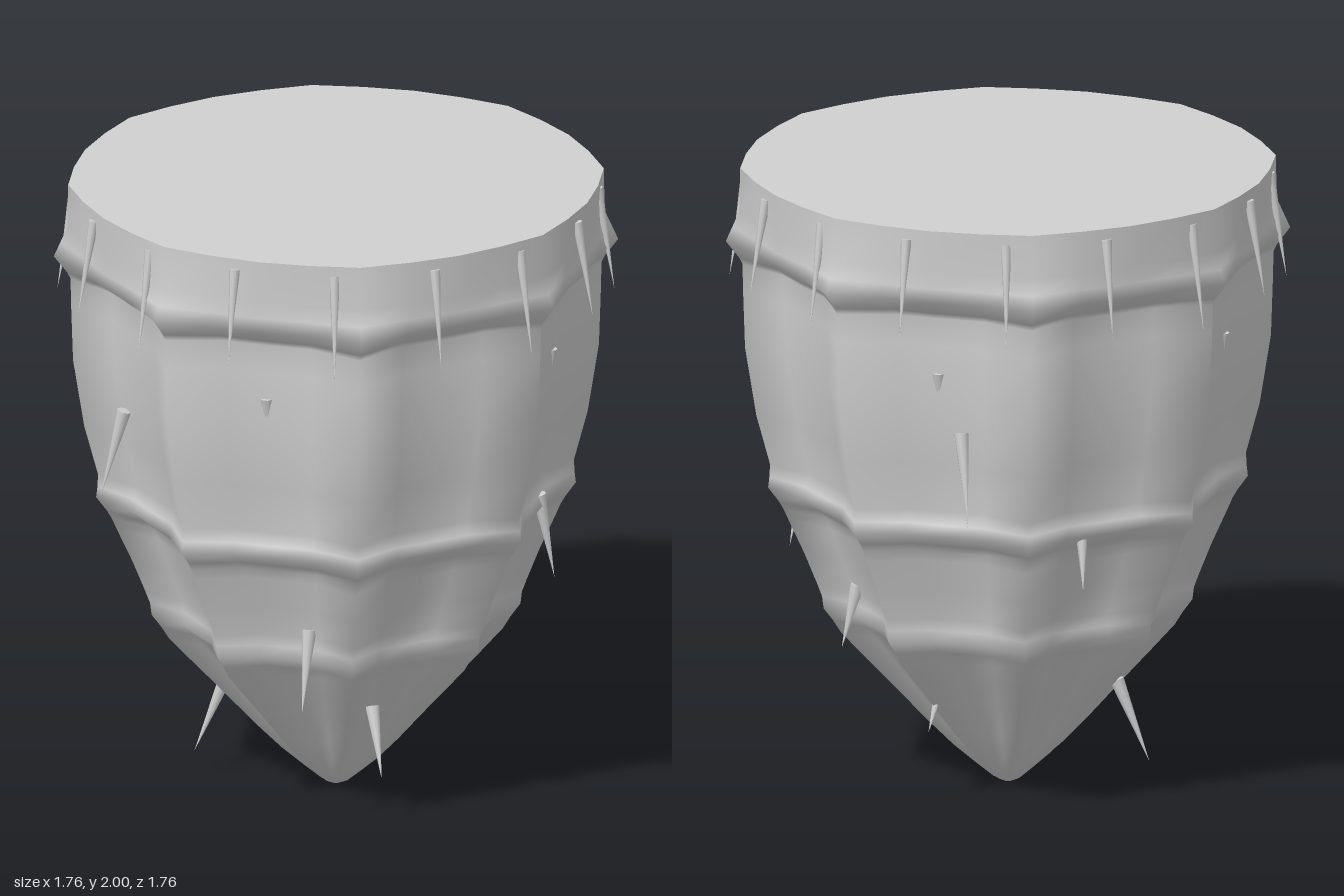
import * as THREE from 'three';

const grey = new THREE.MeshStandardMaterial({ color: 0xd0d0d0 });
grey.name = 'stone grey';

// Cross-sections from tip to rim: height, radius at the eight ridges, hollow between ridges
const ROWS = [
  [0, 0.012, 0], [0.015, 0.045, 0.1], [0.06, 0.1, 0.15], [0.12, 0.17, 0.19], [0.2, 0.25, 0.2],
  [0.33, 0.37, 0.2], [0.42, 0.455, 0.2], [0.49, 0.52, 0.2], [0.53, 0.545, 0.18],
  [0.57, 0.575, 0.15], [0.61, 0.58, 0.165], [0.65, 0.595, 0.18], [0.75, 0.635, 0.175],
  [0.86, 0.685, 0.175], [0.895, 0.7, 0.175], [0.92, 0.715, 0.16], [0.965, 0.748, 0.12],
  [1.0, 0.744, 0.13], [1.04, 0.742, 0.15], [1.2, 0.785, 0.145], [1.42, 0.82, 0.14],
  [1.6, 0.826, 0.135], [1.69, 0.828, 0.135], [1.71, 0.838, 0.125], [1.765, 0.88, 0.08],
  [1.81, 0.86, 0.06], [1.86, 0.838, 0.035], [2, 0.835, 0.022],
];
const SEG = 32;

// Ridged radius: sharp at each multiple of 45 degrees, rounded plateau in between
function ringPoint([y, R, sag], i) {
  const a = (i / SEG) * Math.PI * 2;
  const t = 1 - Math.abs((i % 4) / 2 - 1);
  const r = R * (1 - sag * (1 - Math.pow(1 - t, 3.4)));
  return [Math.cos(a) * r, y, Math.sin(a) * r];
}

function makeGeometry(pos, idx) {
  const g = new THREE.BufferGeometry();
  g.setAttribute('position', new THREE.Float32BufferAttribute(pos, 3));
  g.setIndex(idx);
  g.computeVertexNormals();
  return g;
}

function bodyGeometry() {
  const pos = [], idx = [];
  for (const row of ROWS) for (let i = 0; i < SEG; i++) pos.push(...ringPoint(row, i));
  for (let j = 0; j < ROWS.length - 1; j++) {
    for (let i = 0; i < SEG; i++) {
      const a = j * SEG + i, b = j * SEG + ((i + 1) % SEG), c = a + SEG, d = b + SEG;
      idx.push(a, c, b, b, c, d);
    }
  }
  return makeGeometry(pos, idx);
}

// Flat disc that closes either end
function capGeometry(row, up) {
  const pos = [0, row[0], 0], idx = [];
  for (let i = 0; i < SEG; i++) {
    pos.push(...ringPoint(row, i));
    const a = i + 1, b = ((i + 1) % SEG) + 1;
    if (up) idx.push(0, b, a); else idx.push(0, a, b);
  }
  return makeGeometry(pos, idx);
}

// Thorn running from its blunt root to its point
function thorn(name, root, tip, radius) {
  const a = new THREE.Vector3(...root), b = new THREE.Vector3(...tip);
  const dir = b.clone().sub(a);
  const m = new THREE.Mesh(new THREE.ConeGeometry(radius, dir.length(), 8), grey);
  m.position.copy(a).add(b).multiplyScalar(0.5);
  m.quaternion.setFromUnitVectors(new THREE.Vector3(0, 1, 0), dir.normalize());
  m.name = name;
  return m;
}

const polar = (deg, r, y) => {
  const a = THREE.MathUtils.degToRad(deg);
  return [Math.cos(a) * r, y, Math.sin(a) * r];
};

export function createModel() {
  const model = new THREE.Group();
  model.name = 'thornyPod';
  const add = (name, geo) => {
    const m = new THREE.Mesh(geo, grey);
    m.name = name;
    model.add(m);
  };
  add('ridgedBody', bodyGeometry());
  add('topCap', capGeometry(ROWS[ROWS.length - 1], true));
  add('bottomTip', capGeometry(ROWS[0], false));

  // Sixteen thorns hanging around the rim
  const rim = new THREE.Group();
  rim.name = 'rimThorns';
  for (let i = 0; i < 16; i++) {
    const deg = 5.5 + i * 22.5;
    rim.add(thorn('rimThorn', polar(deg, 0.812, 1.965), polar(deg, 0.865, i % 2 ? 1.66 : 1.63), 0.017));
  }
  model.add(rim);

  // Scattered thorns lower down
  const lower = new THREE.Group();
  lower.name = 'lowerThorns';
  [
    [[0.30, 1.0, 0.57], [0.34, 0.72, 0.6]],
    [[0.43, 0.68, 0.25], [0.47, 0.48, 0.28]],
    [[-0.43, 0.68, 0.25], [-0.49, 0.42, 0.27]],
    [[-0.16, 0.36, 0.28], [-0.21, 0.15, 0.36]],
    [[-0.18, 0.34, -0.29], [-0.23, 0.08, -0.38]],
    [[0.31, 0.42, 0], [0.385, 0.24, 0]],
    [[0.62, 1.32, -0.33], [0.66, 1.03, -0.39]],
    [[-0.62, 1.32, -0.34], [-0.66, 1.04, -0.4]],
    [[0.29, 1.0, -0.54], [0.33, 0.79, -0.58]],
  ].forEach(([root, tip]) => lower.add(thorn('lowerThorn', root, tip, 0.023)));

  // Barely emerging thorn roots around the upper body
  for (let i = 0; i < 4; i++) {
    const deg = 68 + i * 90;
    lower.add(thorn('buriedThorn', polar(deg, 0.7, 1.51), polar(deg, 0.69, 1.38), 0.022));
  }
  model.add(lower);
  return model;
}
